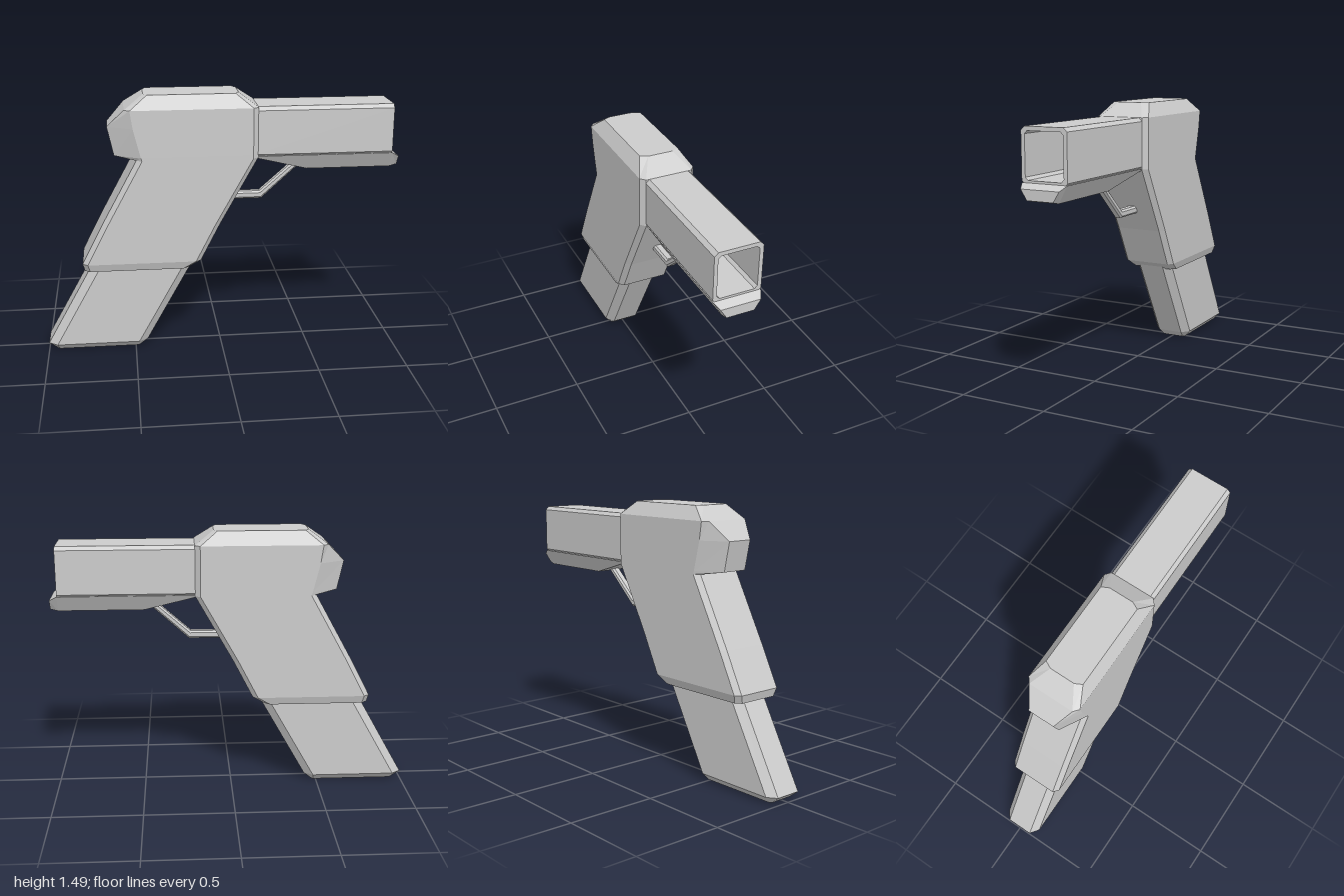
import * as THREE from 'three';

const material = new THREE.MeshStandardMaterial({ color: 0xcccccc, flatShading: true });

function part(name, geometry) {
  const mesh = new THREE.Mesh(geometry, material);
  mesh.name = name;
  return mesh;
}

// Skin a list of equal-length rings (counter-clockwise about the loft direction) and cap both ends
function loft(rings) {
  const pos = [];
  const tri = (...pts) => pts.forEach((p) => pos.push(...p));
  const n = rings[0].length;
  for (let r = 0; r < rings.length - 1; r++) {
    const a = rings[r], b = rings[r + 1];
    for (let i = 0; i < n; i++) {
      const j = (i + 1) % n;
      tri(a[i], a[j], b[j]);
      tri(a[i], b[j], b[i]);
    }
  }
  const first = rings[0], last = rings[rings.length - 1];
  for (let i = 1; i < n - 1; i++) {
    tri(first[0], first[i + 1], first[i]);
    tri(last[0], last[i], last[i + 1]);
  }
  const geometry = new THREE.BufferGeometry();
  geometry.setAttribute('position', new THREE.Float32BufferAttribute(pos, 3));
  geometry.computeVertexNormals();
  return geometry;
}

// Horizontal octagon: back x, front x, half width, front chamfer (x, z), back chamfer (x, z)
function level(y, xb, xf, hz, [fx, fz], [bx, bz] = [fx, fz]) {
  return [
    [xf, y, hz - fz], [xf, y, fz - hz], [xf - fx, y, -hz], [xb + bx, y, -hz],
    [xb, y, bz - hz], [xb, y, hz - bz], [xb + bx, y, hz], [xf - fx, y, hz],
  ];
}

// Rectangle with cut corners, centred on x = 0
function cutRect(PathType, hw, y0, y1, c) {
  const pts = [
    [hw, y0 + c], [hw, y1 - c], [hw - c, y1], [c - hw, y1],
    [-hw, y1 - c], [-hw, y0 + c], [c - hw, y0], [hw - c, y0],
  ];
  return new PathType(pts.map(([x, y]) => new THREE.Vector2(x, y)));
}

export function createModel() {
  const model = new THREE.Group();
  model.name = 'pistol';
  const edge = [0.03, 0.025];

  // Slanted grip and receiver, with the wedge-shaped rear knob in the upper levels
  model.add(part('body', loft([
    level(0.495, -0.775, -0.19, 0.14, edge),
    level(0.54, -0.785, -0.12, 0.155, edge),
    level(0.755, -0.675, -0.01, 0.155, edge),
    level(1.13, -0.47, 0.2, 0.155, edge),
    level(1.148, -0.59, 0.2, 0.155, edge, [0.145, 0.08]),
    level(1.31, -0.625, 0.2, 0.155, edge, [0.14, 0.08]),
    level(1.41, -0.53, 0.2, 0.155, edge),
    level(1.485, -0.425, 0.095, 0.11, [0.02, 0.04]),
  ])));

  // Magazine below the grip
  model.add(part('magazine', loft([
    level(0, -0.95, -0.475, 0.075, [0.01, 0.01]),
    level(0.04, -1, -0.43, 0.112, [0.05, 0.037]),
    level(0.54, -0.72, -0.15, 0.112, [0.05, 0.037]),
  ])));

  // Hollow square barrel
  const section = cutRect(THREE.Shape, 0.131, 1.125, 1.41, 0.02);
  section.holes.push(cutRect(THREE.Path, 0.11, 1.147, 1.388, 0.015));
  const barrel = new THREE.ExtrudeGeometry(section, { depth: 0.775, bevelEnabled: false });
  barrel.rotateY(Math.PI / 2).translate(0.18, 0, 0);
  model.add(part('barrel', barrel));

  // Tapered rail under the barrel: x, bottom y, top y, bottom and top half width
  model.add(part('underRail', loft([
    [0.18, 1.127, 1.135, 0.125, 0.13],
    [0.48, 1.045, 1.135, 0.08, 0.13],
    [0.955, 1.045, 1.135, 0.08, 0.13],
    [0.998, 1.055, 1.11, 0.075, 0.11],
  ].map(([x, y0, y1, z0, z1]) => [[x, y0, -z0], [x, y1, -z1], [x, y1, z1], [x, y0, z0]]))));

  // Bent bar joining the grip to the rail
  const bar = new THREE.Shape([
    [0.01, 0.86], [0.235, 0.86], [0.45, 1.055], [0.42, 1.075], [0.225, 0.903], [0.01, 0.903],
  ].map(([x, y]) => new THREE.Vector2(x, y)));
  const guard = new THREE.ExtrudeGeometry(bar, {
    depth: 0.03, bevelThickness: 0.01, bevelSize: 0.01, bevelOffset: -0.01, bevelSegments: 1,
  });
  guard.translate(0, 0, -0.015);
  model.add(part('triggerGuard', guard));

  return model;
}
